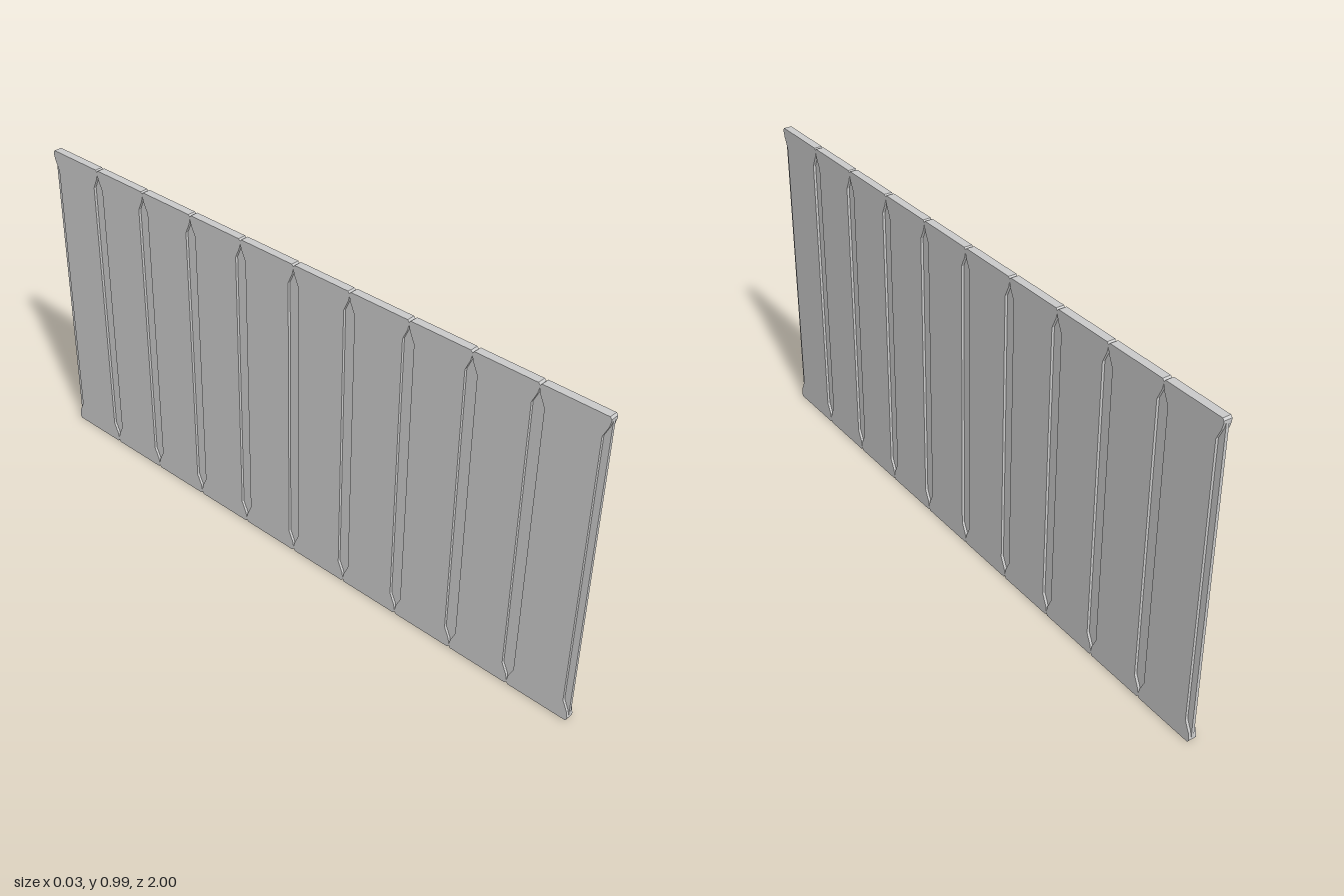
import * as THREE from 'three';

const HEIGHT = 0.99, THICK = 0.025, PITCH = 0.2, COUNT = 10;
const material = new THREE.MeshStandardMaterial({ color: 0xcccccc, flatShading: true });

// Upright plate: an outline in (z, y) extruded symmetrically along x
function plate(points, thickness, name) {
  const shape = new THREE.Shape(points.map(([z, y]) => new THREE.Vector2(-z, y)));
  const geo = new THREE.ExtrudeGeometry(shape, { depth: thickness, bevelEnabled: false });
  geo.translate(0, 0, -thickness / 2);
  geo.rotateY(Math.PI / 2);
  const mesh = new THREE.Mesh(geo, material);
  mesh.name = name;
  return mesh;
}

// Board outline: full width at head and foot, waisted between, clipped corners
function boardOutline() {
  const h = PITCH / 2;
  const side = [
    [h - 0.005, 0], [h, 0.007], [h, 0.013], [h - 0.004, 0.032], [h - 0.019, 0.065],
    [h - 0.019, 0.927], [h - 0.004, 0.96], [h, 0.977], [h, 0.984], [h - 0.005, HEIGHT],
  ];
  return [...side, ...side.map(([z, y]) => [-z, y]).reverse()];
}

export function createModel() {
  const group = new THREE.Group();
  group.name = 'plankPanel';

  // Row of boards
  const outline = boardOutline();
  for (let i = 0; i < COUNT; i++) {
    const board = plate(outline, THICK, 'board' + (i + 1));
    board.position.z = (i - (COUNT - 1) / 2) * PITCH;
    group.add(board);
  }

  // Thin core closing the slots between boards and forming the end tongues
  group.add(plate([[-1, 0.013], [1, 0.013], [1, 0.977], [-1, 0.977]], 0.009, 'core'));

  return group;
}
